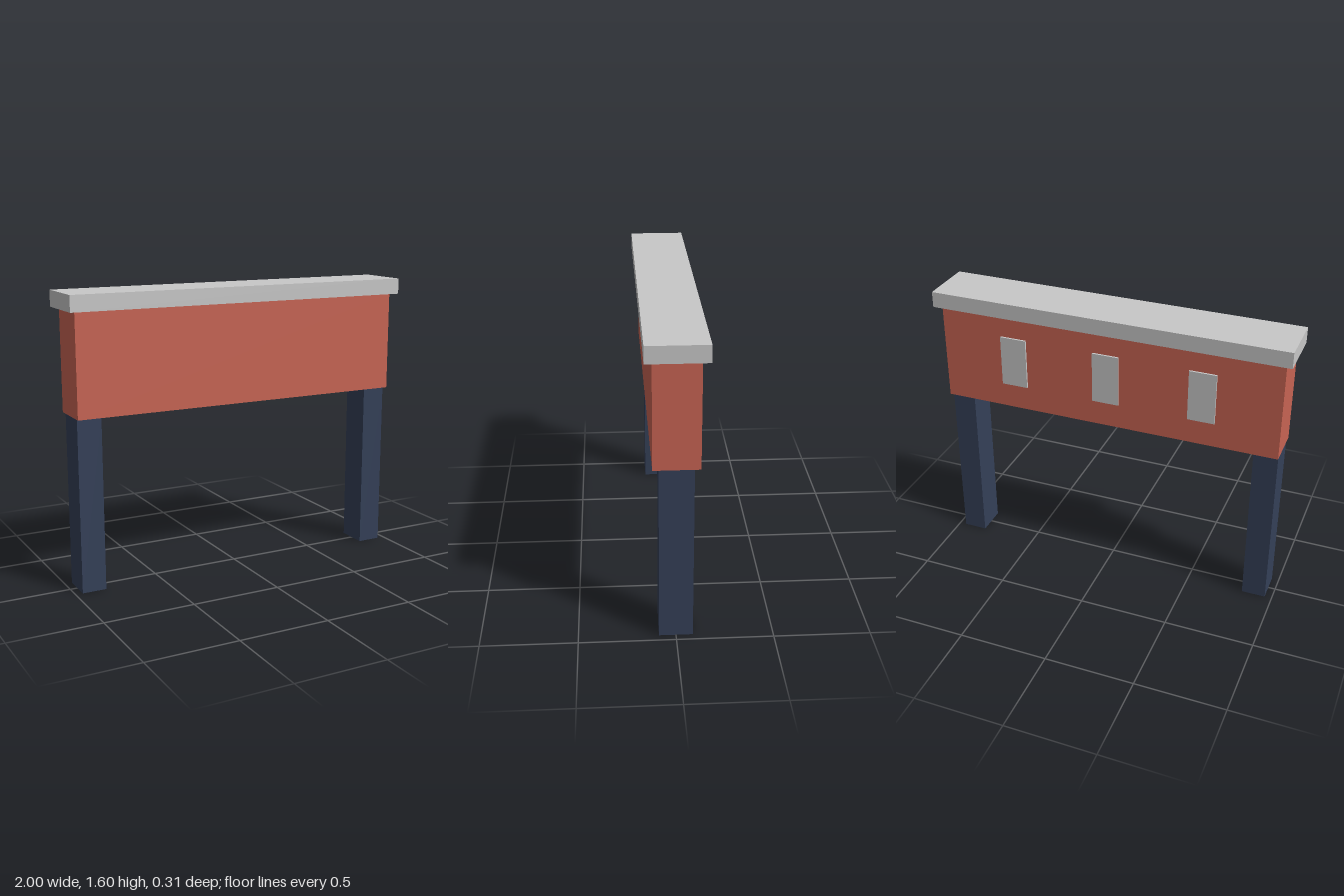
import * as THREE from 'three';

const material = (name, color) => {
  const m = new THREE.MeshStandardMaterial({ color });
  m.name = name;
  return m;
};

export function createModel() {
  const model = new THREE.Group();
  model.name = 'raisedCabin';

  const red = material('brick red', 0xc86453);
  const grey = material('light grey', 0xc8c8c8);
  const navy = material('dark navy', 0x344058);

  // Box from its size, the height of its base and its centre in x and z
  const box = (name, mat, w, h, d, x, base, z) => {
    const mesh = new THREE.Mesh(new THREE.BoxGeometry(w, h, d), mat);
    mesh.name = name;
    mesh.position.set(x, base + h / 2, z);
    model.add(mesh);
  };

  // Long body and overhanging roof slab
  box('body', red, 1.93, 0.557, 0.235, 0, 0.952, 0);
  box('roof', grey, 2, 0.088, 0.31, 0, 1.509, 0);

  // Pillars under both ends
  for (const side of [-1, 1]) {
    box(side > 0 ? 'leftLeg' : 'rightLeg', navy, 0.134, 0.952, 0.174, side * 0.893, 0, 0);
  }

  // Three raised panels on the back wall
  for (const x of [-0.54, 0, 0.54]) {
    box('backPanel', grey, 0.15, 0.287, 0.014, x, 1.095, -0.121);
  }

  return model;
}
